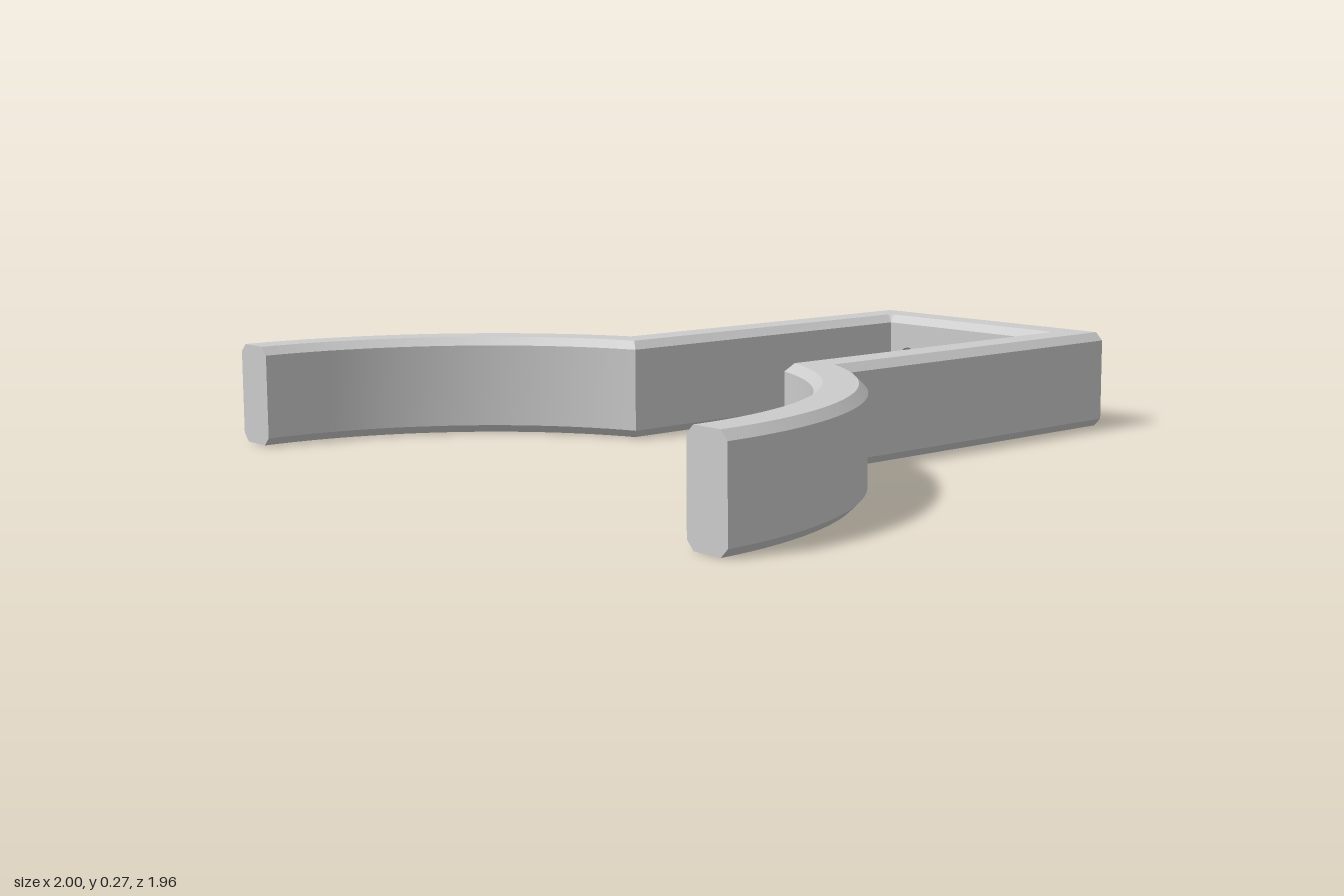
import * as THREE from 'three';
import { toCreasedNormals } from 'three/addons/utils/BufferGeometryUtils.js';

const H = 0.27, C = 0.022;             // band height, edge chamfer
const XO = 0.43, XI = 0.30;            // straight arms, outer and inner x
const ZO = -0.98, ZI = -0.85;          // back wall, outer and inner z
const RO = 1.0, RI = 0.87, ZC = 0.98;  // curved jaws: radii and centre z
const HOLES = [-0.227, 0, 0.227], HOLE_R = 0.041;

const lerp = THREE.MathUtils.lerp;

// Chamfered cross-section from plan points: outer/inner wall and their inset edges
function section(o, oc, i, ic) {
  return [[o, C], [o, H - C], [oc, H], [ic, H], [i, H - C], [i, C], [ic, 0], [oc, 0]]
    .map(([p, y]) => new THREE.Vector3(p[0], y, p[1]));
}

// Cross-sections of the left half, from the jaw tip to the back wall
function halfSections() {
  const list = [];
  const onArc = (r, xEnd, t) => {
    const a = Math.acos(xEnd / r) * t;
    return [r * Math.cos(a), ZC - r * Math.sin(a)];
  };
  const N = 24;
  for (let s = 0; s <= N; s++) {
    const t = s / N;
    list.push(section(onArc(RO, XO, t), onArc(RO - C, XO - C, t),
      onArc(RI, XI, t), onArc(RI + C, XI + C, t)));
  }
  // Back corner: chamfered outside, rounded upper edge inside
  const M = 5;
  for (let s = 0; s <= M; s++) {
    const t = s / M, a = t * Math.PI / 2;
    list.push(section([lerp(XO, XO - C, t), lerp(ZO + C, ZO, t)], [XO - C, ZO + C],
      [XI, ZI], [XI + C * Math.cos(a), ZI - C * Math.sin(a)]));
  }
  return list;
}

function bandGeometry() {
  const half = halfSections();
  const mirrored = half.map(r => r.map(p => new THREE.Vector3(-p.x, p.y, p.z))).reverse();
  const rings = [...half, ...mirrored];
  const pos = [];
  const tri = (a, b, c) => {
    if (new THREE.Triangle(a, b, c).getArea() < 1e-9) return;
    for (const p of [a, b, c]) pos.push(p.x, p.y, p.z);
  };
  for (let s = 0; s < rings.length - 1; s++) {
    for (let k = 0; k < 8; k++) {
      // The drilled back panels replace the plain walls in the middle
      if (s === half.length - 1 && (k === 0 || k === 4)) continue;
      const n = (k + 1) % 8, r = rings[s], q = rings[s + 1];
      tri(r[k], q[k], q[n]);
      tri(r[k], q[n], r[n]);
    }
  }
  // Flat jaw tips
  const first = rings[0], last = rings[rings.length - 1];
  for (let k = 1; k < 7; k++) {
    tri(first[0], first[k], first[k + 1]);
    tri(last[0], last[k + 1], last[k]);
  }
  const g = new THREE.BufferGeometry();
  g.setAttribute('position', new THREE.Float32BufferAttribute(pos, 3));
  return toCreasedNormals(g, 0.5);
}

// Flat wall panel with the screw holes cut out
function panelGeometry(w) {
  const shape = new THREE.Shape([[-w, C], [w, C], [w, H - C], [-w, H - C]]
    .map(([x, y]) => new THREE.Vector2(x, y)));
  for (const x of HOLES) {
    shape.holes.push(new THREE.Path().absarc(x, H / 2, HOLE_R, 0, Math.PI * 2, true));
  }
  return new THREE.ShapeGeometry(shape, 24);
}

export function createModel() {
  const group = new THREE.Group();
  group.name = 'forkBracket';
  const mat = new THREE.MeshStandardMaterial({ color: 0xcccccc });
  const boreMat = new THREE.MeshStandardMaterial({ color: 0xcccccc, side: THREE.BackSide });
  const add = (name, geo, m = mat) => {
    const mesh = new THREE.Mesh(geo, m);
    mesh.name = name;
    group.add(mesh);
    return mesh;
  };

  add('forkBand', bandGeometry());
  add('backPanelInner', panelGeometry(XI)).position.z = ZI;
  const outer = add('backPanelOuter', panelGeometry(XO - C));
  outer.rotation.y = Math.PI;
  outer.position.z = ZO;

  // Screw hole bores
  for (const x of HOLES) {
    const bore = new THREE.CylinderGeometry(HOLE_R, HOLE_R, ZI - ZO, 48, 1, true);
    bore.rotateX(Math.PI / 2);
    add('screwHole', bore, boreMat).position.set(x, H / 2, (ZI + ZO) / 2);
  }
  return group;
}
